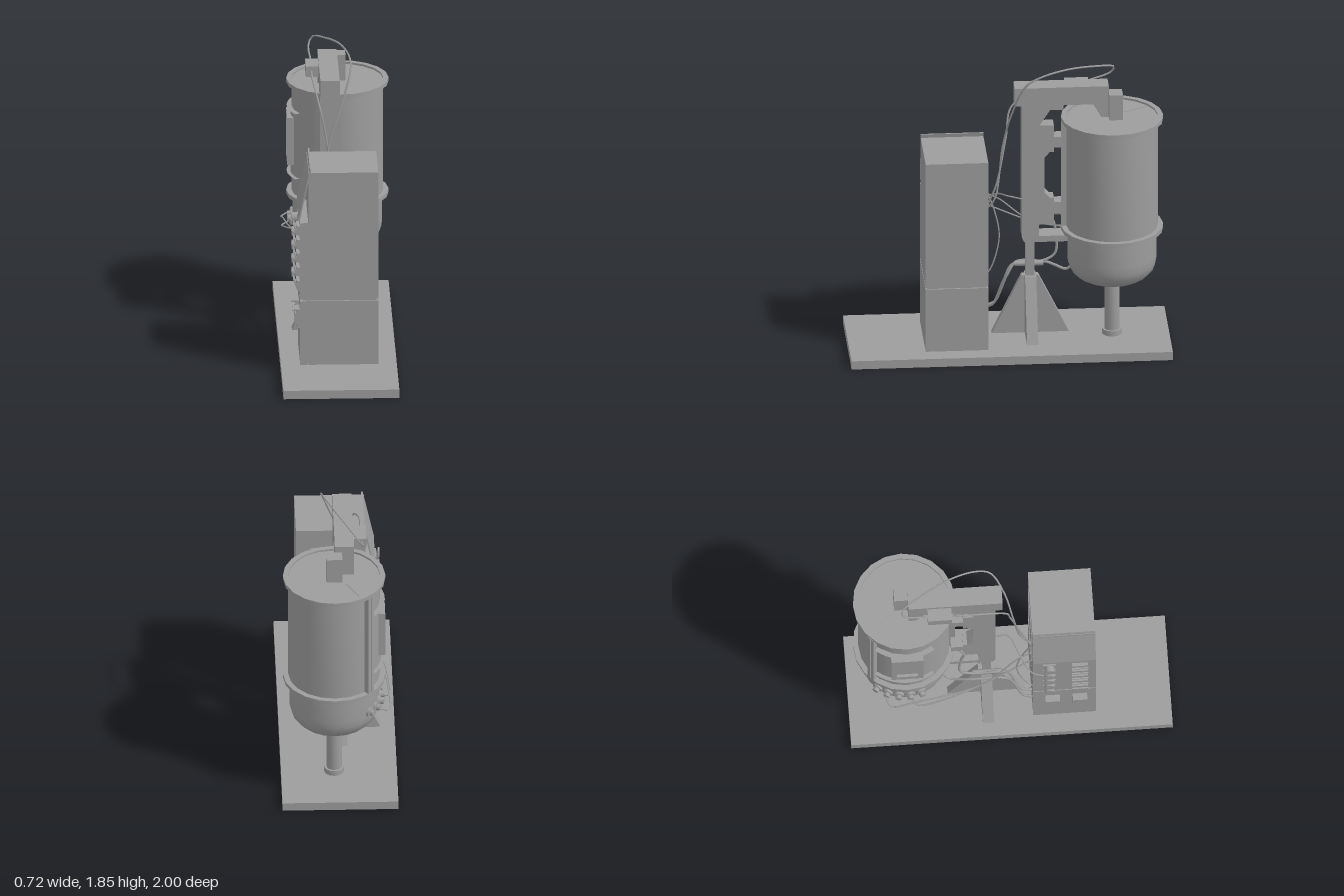
import * as THREE from 'three';
import { toCreasedNormals } from 'three/addons/utils/BufferGeometryUtils.js';

const GREY = 0x9d9d9d;
const mat = new THREE.MeshStandardMaterial({ color: GREY });
const thin = new THREE.MeshStandardMaterial({ color: GREY, side: THREE.DoubleSide });
const VX = 0.03, VZ = -0.645; // vessel axis

function add(parent, name, geo, material = mat) {
  const m = new THREE.Mesh(geo, material);
  m.name = name;
  parent.add(m);
  return m;
}

// Box from its limits on each axis
function box(parent, name, x0, x1, y0, y1, z0, z1) {
  const m = add(parent, name, new THREE.BoxGeometry(x1 - x0, y1 - y0, z1 - z0));
  m.position.set((x0 + x1) / 2, (y0 + y1) / 2, (z0 + z1) / 2);
  return m;
}

function extrude(points, depth, hole) {
  const v = (list) => list.map(([a, b]) => new THREE.Vector2(a, b));
  const shape = new THREE.Shape(v(points));
  if (hole) shape.holes.push(new THREE.Path(v(hole)));
  return new THREE.ExtrudeGeometry(shape, { depth, bevelEnabled: false }).translate(0, 0, -depth / 2);
}

// Side profile of [z, y] points, extruded along x
function sidePlate(parent, name, points, x0, x1) {
  const m = add(parent, name, extrude(points, x1 - x0).rotateY(-Math.PI / 2));
  m.position.x = (x0 + x1) / 2;
  return m;
}

const rect = (w, h) => [[-w / 2, -h / 2], [w / 2, -h / 2], [w / 2, h / 2], [-w / 2, h / 2]];

function cable(parent, name, pts, r = 0.006) {
  const curve = new THREE.CatmullRomCurve3(pts.map((p) => new THREE.Vector3(...p)));
  add(parent, name, new THREE.TubeGeometry(curve, 48, r, 6), thin);
}

function lathe(points, sides = 20) {
  const g = new THREE.LatheGeometry(points.map(([r, y]) => new THREE.Vector2(r, y)), sides);
  return toCreasedNormals(g, 0.6);
}

function group(parent, name) {
  const g = new THREE.Group();
  g.name = name;
  parent.add(g);
  return g;
}

function buildBase(root) {
  const g = group(root, 'base');
  box(g, 'baseTop', -0.36, 0.36, 0.035, 0.055, -1, 1);
  for (const s of [-1, 1]) {
    box(g, 'baseSideRim', s * 0.35 - 0.01, s * 0.35 + 0.01, 0, 0.036, -1, 1);
    box(g, 'baseEndRim', -0.34, 0.34, 0, 0.036, s * 0.99 - 0.01, s * 0.99 + 0.01);
  }
}

function buildCabinet(root) {
  const g = group(root, 'cabinet');
  box(g, 'lowerCabinet', -0.188, 0.245, 0.055, 0.475, 0.14, 0.53);
  box(g, 'lowerSidePanel', -0.24, -0.194, 0.055, 0.475, 0.14, 0.53);
  box(g, 'cabinetCore', -0.225, 0.235, 0.06, 0.49, 0.15, 0.52);
  box(g, 'upperCabinet', -0.188, 0.245, 0.487, 1.32, 0.14, 0.53);
  box(g, 'upperSidePanel', -0.24, -0.19, 0.487, 0.99, 0.14, 0.53);

  // Hinged cover hanging outward from the top edge
  const cover = add(g, 'hingedCover',
    extrude([[-0.242, 1.01], [-0.25, 1.01], [-0.18, 1.345], [-0.17, 1.345]].reverse(), 0.39));
  cover.position.z = 0.335;

  // Door on the rear face
  const frame = add(g, 'rearDoorFrame', extrude(rect(0.3, 0.48), 0.006, rect(0.285, 0.465)));
  frame.position.set(0.035, 0.95, 0.139);

  // Sockets in two columns on the side panel
  for (let i = 0; i < 5; i++) {
    const y = 0.565 + i * 0.09;
    box(g, 'socketPlate', -0.25, -0.24, y - 0.035, y + 0.035, 0.2, 0.28);
    const plug = add(g, 'roundSocket', new THREE.CylinderGeometry(0.032, 0.032, 0.04, 10).rotateZ(Math.PI / 2));
    plug.position.set(-0.265, y, 0.24);
    box(g, 'coveredSocket', -0.262, -0.24, y - 0.032, y + 0.026, 0.38, 0.48);
    const lid = add(g, 'socketLid', new THREE.BoxGeometry(0.008, 0.06, 0.1));
    lid.position.set(-0.268, y + 0.005, 0.43);
    lid.rotation.z = 0.35;
  }
  for (const z of [0.26, 0.43]) {
    box(g, 'lowerSocket', -0.262, -0.24, 0.28, 0.4, z - 0.045, z + 0.045);
    box(g, 'lowerSocketInset', -0.27, -0.26, 0.3, 0.37, z - 0.03, z + 0.03);
    box(g, 'lowerSocketLip', -0.285, -0.24, 0.39, 0.4, z - 0.045, z + 0.045);
  }
}

function buildVessel(root) {
  const g = group(root, 'vessel');
  g.position.set(VX, 0, VZ);
  add(g, 'vesselBody', lathe([
    [0, 0.445], [0.19, 0.445], [0.225, 0.465], [0.26, 0.505], [0.275, 0.55], [0.278, 0.6], [0.278, 0.765],
    [0.318, 0.765], [0.318, 0.79], [0.285, 0.79], [0.285, 1.5],
    [0.318, 1.5], [0.318, 1.525], [0.285, 1.525], [0.285, 1.512], [0, 1.512]]));
  add(g, 'supportPole', lathe([[0, 0.04], [0.062, 0.04], [0.062, 0.09], [0.048, 0.09], [0.048, 0.45]], 16));

  // Part placed on the wall, facing outward at angle a
  const onWall = (name, geo, a, r, y) => {
    const m = add(g, name, geo);
    m.rotation.y = a;
    m.position.set(Math.sin(a) * r, y, Math.cos(a) * r);
  };
  for (const a of [-0.06, -Math.PI * 0.75])
    for (const d of [-0.045, 0.045])
      onWall('jacketSeam', new THREE.BoxGeometry(0.022, 0.71, 0.045), a + d, 0.295, 1.145);

  // Curved access door with edge bands and a window
  const a0 = -2.25, span = 1.25;
  const door = add(g, 'accessDoor', new THREE.CylinderGeometry(0.291, 0.291, 0.43, 10, 1, true, a0, span), thin);
  door.position.y = 1.13;
  for (const y of [0.915, 1.345]) {
    const band = add(g, 'doorBand', new THREE.RingGeometry(0.28, 0.315, 10, 1, 0, span).rotateX(-Math.PI / 2), thin);
    band.rotation.y = a0 - Math.PI / 2;
    band.position.y = y;
  }
  onWall('windowFrame', extrude(rect(0.2, 0.31), 0.05, rect(0.13, 0.23)), -Math.PI / 2, 0.29, 1.14);
  onWall('windowPane', new THREE.BoxGeometry(0.13, 0.23, 0.01), -Math.PI / 2, 0.292, 1.14);

  // Short ports below the lower flange
  for (let i = 0; i < 5; i++) {
    const a = -2.25 + i * 0.25;
    onWall('portFlange', new THREE.CylinderGeometry(0.032, 0.032, 0.02, 12).rotateX(Math.PI / 2), a, 0.28, 0.61);
    onWall('port', new THREE.CylinderGeometry(0.02, 0.02, 0.05, 12).rotateX(Math.PI / 2), a, 0.288, 0.61);
  }
  box(g, 'lidSeam', -0.125, -0.12, 1.51, 1.515, -0.27, -0.07).rotation.y = 0.5;
  box(g, 'lidBox', -0.05, 0.05, 1.5, 1.68, -0.065, 0.02);
}

function buildStand(root) {
  const g = group(root, 'stand');
  // Crossed tapering fins around a post
  sidePlate(g, 'longFin', [[0.1, 0.055], [-0.085, 0.44], [-0.19, 0.44], [-0.38, 0.055]], -0.06, -0.015);
  const fin = add(g, 'crossFin', extrude([[-0.27, 0.055], [0.19, 0.055], [0.015, 0.44], [-0.09, 0.44]], 0.07));
  fin.position.z = -0.14;
  box(g, 'post', -0.065, -0.01, 0.055, 0.7, -0.165, -0.11);
  const clamp = add(g, 'hoseClamp', new THREE.CylinderGeometry(0.017, 0.017, 0.18, 10).rotateX(Math.PI / 2));
  clamp.position.set(-0.09, 0.49, -0.137);

  // Column, overhead beam and its drop leg in one profile
  sidePlate(g, 'armFrame', [
    [-0.04, 1.72], [-0.04, 1.6], [-0.085, 1.6], [-0.085, 0.71], [-0.1, 0.68], [-0.37, 0.68], [-0.37, 0.72],
    [-0.19, 0.72], [-0.19, 1.46], [-0.26, 1.57], [-0.345, 1.57], [-0.345, 1.6], [-0.53, 1.6],
    [-0.58, 1.51], [-0.626, 1.51], [-0.626, 1.72]], -0.095, 0.025);

  // Bracket holding the vessel, mirrored about its middle
  const half = [[-0.19, 1.46], [-0.285, 1.46], [-0.285, 1.38], [-0.36, 1.38], [-0.36, 1.31], [-0.285, 1.31],
    [-0.285, 1.28], [-0.26, 1.28], [-0.225, 1.24]];
  const lower = half.map(([z, y]) => [z, 2.25 - y]).reverse();
  sidePlate(g, 'vesselBracket', [...half, ...lower], -0.08, 0.01);
  box(g, 'motorBox', -0.175, -0.09, 1.633, 1.7, -0.51, -0.36);
}

function buildCables(root) {
  const g = group(root, 'cables');
  cable(g, 'overheadCable', [[-0.06, 0.87, 0.14], [-0.04, 0.95, 0.08], [-0.05, 1.3, 0.03], [0.03, 1.55, -0.02],
    [0.095, 1.77, -0.11], [0.09, 1.82, -0.2], [0.04, 1.845, -0.36], [-0.05, 1.825, -0.54],
    [-0.13, 1.785, -0.67], [-0.15, 1.74, -0.65], [-0.14, 1.69, -0.5]]);
  cable(g, 'motorCable', [[-0.14, 1.67, -0.37], [-0.14, 1.67, -0.25], [-0.1, 1.55, -0.03], [-0.06, 1.35, 0.01],
    [-0.04, 1.05, 0.07], [-0.07, 0.86, 0.14]]);
  // Runs from the ports to the cabinet
  for (const [z, x, y] of [[-0.78, -0.15, 0.95], [-0.62, -0.17, 0.87]])
    cable(g, 'portCable', [[-0.24, 0.61, z], [-0.31, 0.58, z + 0.03], [-0.31, 0.62, z + 0.18],
      [-0.25, 0.7, -0.18], [x - 0.02, y - 0.05, 0.05], [x, y, 0.14]], 0.005);
  cable(g, 'columnCable', [[-0.27, 0.83, 0.22], [-0.25, 0.86, 0.13], [-0.15, 0.94, 0.06], [-0.04, 0.97, 0],
    [-0.03, 0.95, -0.09]], 0.005);
  cable(g, 'rearCable', [[-0.16, 0.38, 0.14], [-0.15, 0.43, 0.1], [-0.14, 0.65, 0.045],
    [-0.13, 0.85, 0.08], [-0.12, 1.0, 0.14]], 0.005);
  // Hoses over the stand clamp to the vessel
  cable(g, 'upperHose', [[-0.12, 0.2, 0.14], [-0.12, 0.22, 0.08], [-0.08, 0.42, 0], [-0.1, 0.5, -0.06],
    [-0.1, 0.5, -0.22], [-0.1, 0.55, -0.3], [-0.09, 0.72, -0.3], [-0.08, 0.82, -0.28], [-0.05, 0.84, -0.33]], 0.009);
  cable(g, 'lowerHose', [[-0.16, 0.18, 0.14], [-0.15, 0.19, 0.09], [-0.12, 0.36, 0.02], [-0.13, 0.47, -0.04],
    [-0.13, 0.48, -0.24], [-0.12, 0.46, -0.3], [-0.1, 0.44, -0.37], [-0.08, 0.5, -0.42]], 0.009);
}

export function createModel() {
  const root = new THREE.Group();
  root.name = 'processingMachine';
  buildBase(root);
  buildCabinet(root);
  buildVessel(root);
  buildStand(root);
  buildCables(root);
  return root;
}
